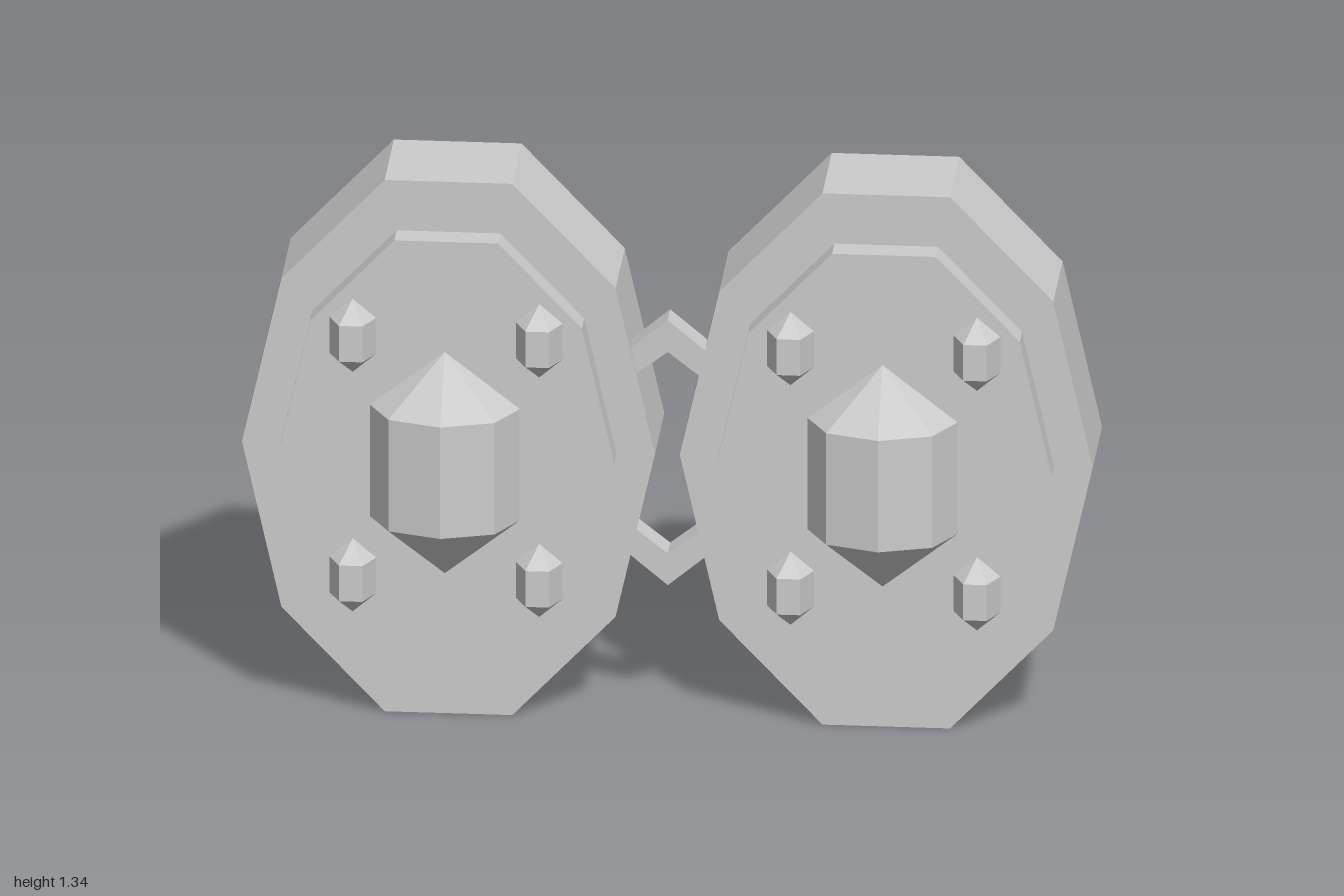
import * as THREE from 'three';

const grey = new THREE.MeshStandardMaterial({ color: 0xcccccc });
grey.name = 'paleGrey';

// Mesh with hard, faceted edges
function facet(name, geometry) {
  const g = geometry.index ? geometry.toNonIndexed() : geometry;
  g.computeVertexNormals();
  const mesh = new THREE.Mesh(g, grey);
  mesh.name = name;
  return mesh;
}

// Ten-sided oval plate between two depths, with corners on its left and right
function plate(name, rx, ry, z0, z1) {
  const g = new THREE.CylinderGeometry(1, 1, z1 - z0, 10, 1, false, Math.PI / 2);
  g.rotateX(Math.PI / 2);
  g.scale(rx, ry, 1);
  g.translate(0, 0, (z0 + z1) / 2);
  return facet(name, g);
}

// Upright crystal: a prism with a point at each end
function crystal(name, rx, rz, bodyHalf, tipHalf, sides) {
  const profile = [[0, -tipHalf], [1, -bodyHalf], [1, bodyHalf], [0, tipHalf]]
    .map(([r, y]) => new THREE.Vector2(r, y));
  const g = new THREE.LatheGeometry(profile, sides, Math.PI / 2);
  g.scale(rx, 1, rz);
  return facet(name, g);
}

function medallion(name) {
  const group = new THREE.Group();
  group.name = name;
  group.add(plate('basePlate', 0.485, 0.702, -0.25, 0.01));
  group.add(plate('raisedPlate', 0.394, 0.57, 0.01, 0.075));

  const big = crystal('centreCrystal', 0.176, 0.134, 0.14, 0.278, 8);
  big.position.set(0, 0.003, 0.114);
  group.add(big);

  // Four small crystals around the centre
  for (const sx of [-1, 1]) {
    for (const sy of [-1, 1]) {
      const small = crystal('smallCrystal', 0.055, 0.067, 0.045, 0.092, 6);
      small.position.set(sx * 0.219, sy * 0.301 + 0.002, 0.081);
      group.add(small);
    }
  }
  return group;
}

// Chevron bar joining the two medallions
function link(name, flip) {
  const points = [[0, 0.333], [-0.115, 0.237], [-0.115, 0.163], [0, 0.253], [0.115, 0.163], [0.115, 0.237]];
  const shape = new THREE.Shape(points.map(([x, y]) => new THREE.Vector2(x, y * flip)));
  const g = new THREE.ExtrudeGeometry(shape, { depth: 0.07, bevelEnabled: false });
  g.translate(0, 0, -0.07);
  return facet(name, g);
}

export function createModel() {
  const model = new THREE.Group();
  model.name = 'linkedMedallions';
  const midY = 0.667;

  for (const [name, side] of [['rightMedallion', -1], ['leftMedallion', 1]]) {
    const m = medallion(name);
    m.position.set(side * 0.514, midY, 0);
    model.add(m);
  }
  for (const [name, flip] of [['upperLink', 1], ['lowerLink', -1]]) {
    const bar = link(name, flip);
    bar.position.y = midY;
    model.add(bar);
  }
  return model;
}
